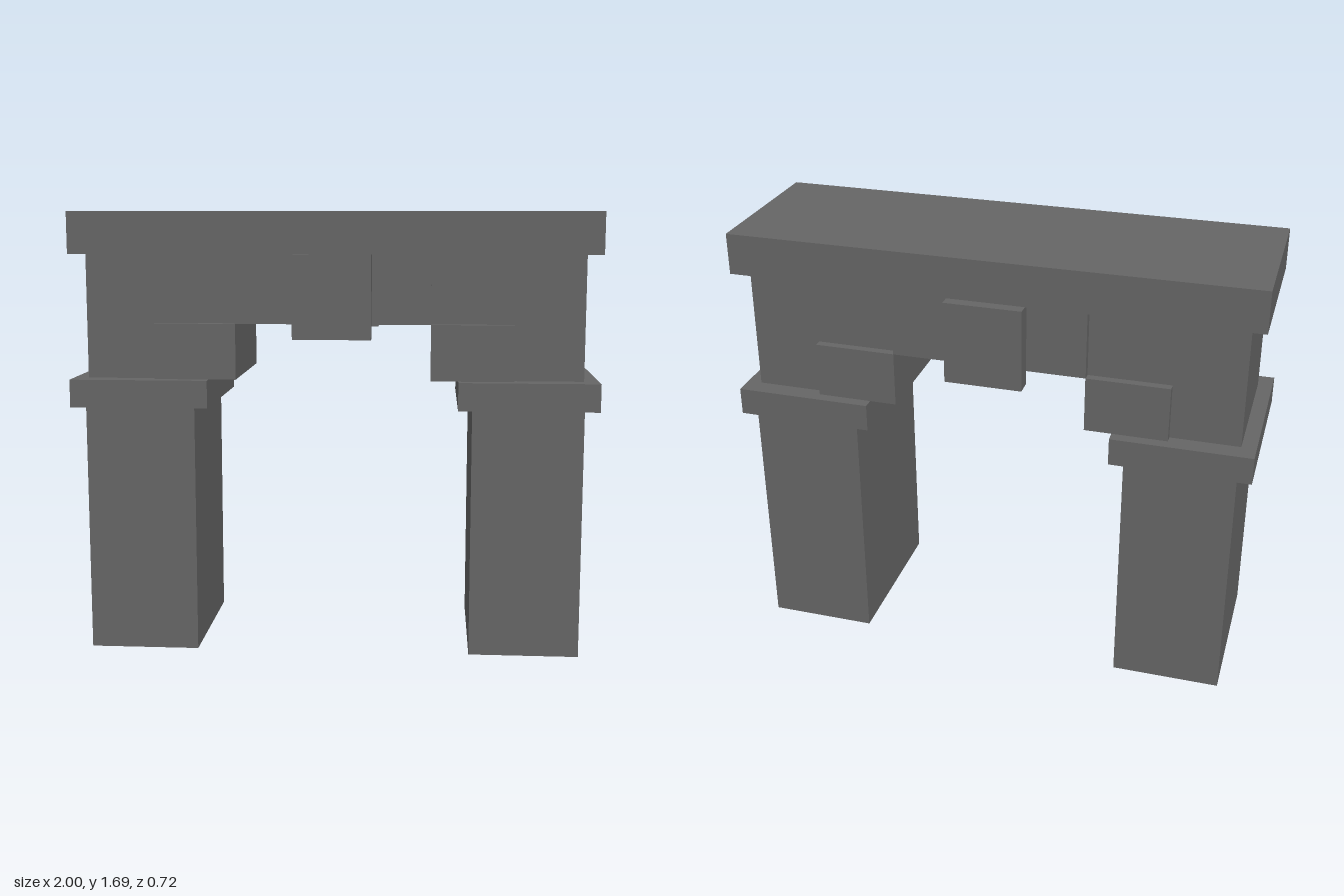
import * as THREE from 'three';

export function createModel() {
  const group = new THREE.Group();
  const stone = new THREE.MeshStandardMaterial({ color: 0x666666 });
  stone.name = 'grey stone';

  // Box given by its extents on each axis
  function block(name, [x0, x1], [y0, y1], [z0, z1]) {
    const mesh = new THREE.Mesh(new THREE.BoxGeometry(x1 - x0, y1 - y0, z1 - z0), stone);
    mesh.position.set((x0 + x1) / 2, (y0 + y1) / 2, (z0 + z1) / 2);
    mesh.name = name;
    group.add(mesh);
  }
  const sym = (d) => [-d, d];

  // Supports, mirrored left and right
  for (const [side, s] of [['left', 1], ['right', -1]]) {
    const span = (a, b) => (s > 0 ? [a, b] : [-b, -a]);
    block(side + 'Pillar', span(0.526, 0.944), [0, 0.95], sym(0.316));
    block(side + 'Capital', span(0.473, 1), [0.95, 1.056], sym(0.337));
    block(side + 'Wall', span(0.37, 0.944), [1.056, 1.53], sym(0.263));
    // Stepped corbel reaching into the opening
    block(side + 'Corbel', span(0.369, 0.682), [1.056, 1.268], sym(0.294));
  }

  // Span over the opening
  block('lintel', sym(0.37), [1.268, 1.53], sym(0.294));
  block('topSlab', sym(1), [1.53, 1.688], sym(0.316));

  // Keystones on both faces
  block('frontKeystone', sym(0.147), [1.215, 1.53], [0.294, 0.358]);
  block('backKeystone', sym(0.147), [1.215, 1.53], [-0.358, -0.294]);

  return group;
}
